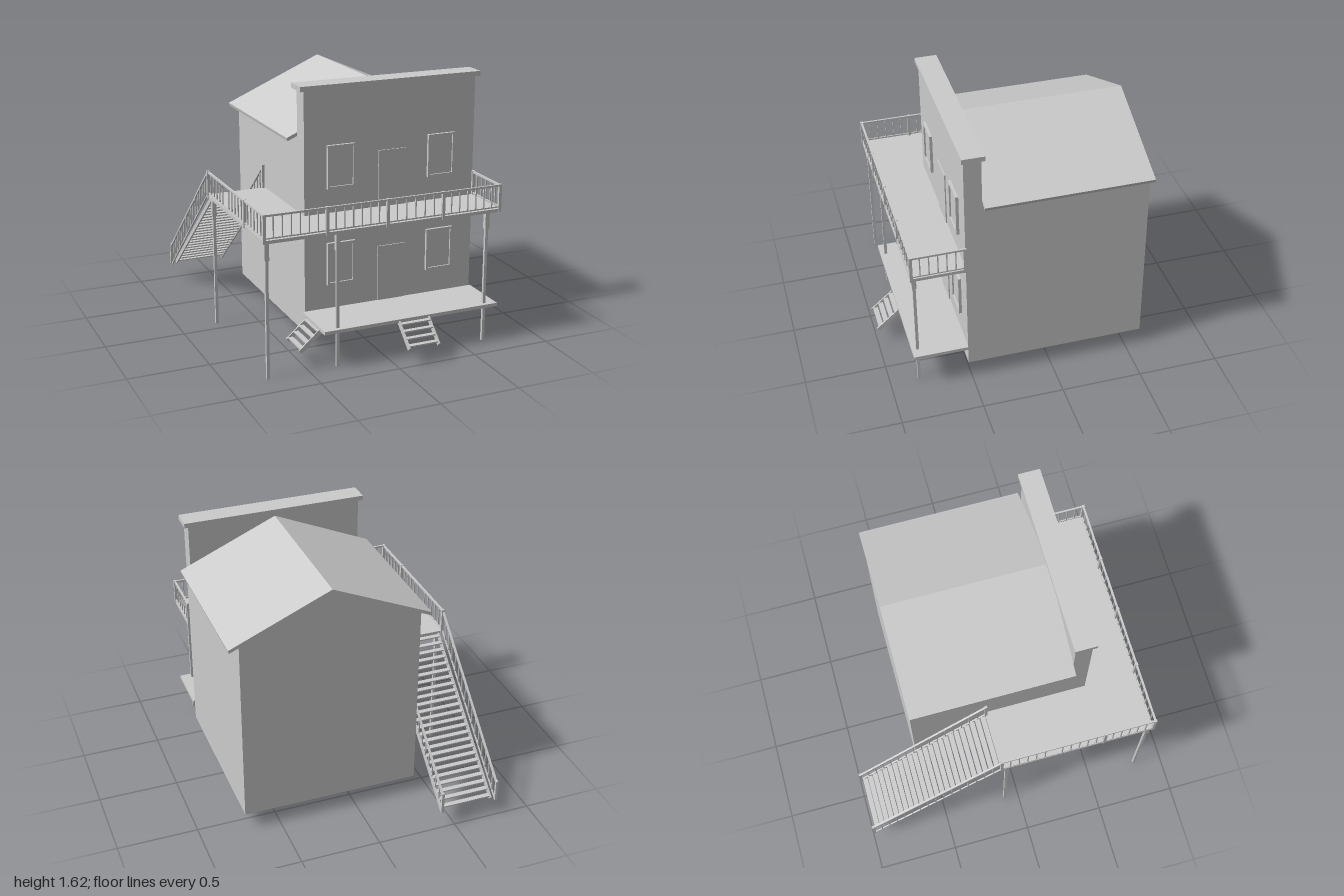
import * as THREE from 'three';

const timber = new THREE.MeshStandardMaterial({ color: 0xcccccc });
timber.name = 'plain grey';

function add(parent, name, geometry) {
  const mesh = new THREE.Mesh(geometry, timber);
  mesh.name = name;
  parent.add(mesh);
  return mesh;
}

function group(parent, name) {
  const g = new THREE.Group();
  g.name = name;
  parent.add(g);
  return g;
}

// Box given by its lower and upper limits on each axis
function box(parent, name, x0, x1, y0, y1, z0, z1) {
  const mesh = add(parent, name, new THREE.BoxGeometry(x1 - x0, y1 - y0, z1 - z0));
  mesh.position.set((x0 + x1) / 2, (y0 + y1) / 2, (z0 + z1) / 2);
  return mesh;
}

// Straight beam of width w and height h between two points
function beam(parent, name, a, b, w, h) {
  const from = new THREE.Vector3(...a), to = new THREE.Vector3(...b);
  const mesh = add(parent, name, new THREE.BoxGeometry(w, h, from.distanceTo(to)));
  mesh.position.copy(from).lerp(to, 0.5);
  mesh.lookAt(to);
  return mesh;
}

// Upright square post
function post(parent, name, x, y0, y1, z, w) {
  return box(parent, name, x - w / 2, x + w / 2, y0, y1, z - w / 2, z + w / 2);
}

// Profile in x and y, extruded along z
function prism(parent, name, points, z0, z1) {
  const shape = new THREE.Shape(points.map(p => new THREE.Vector2(...p)));
  const geometry = new THREE.ExtrudeGeometry(shape, { depth: z1 - z0, bevelEnabled: false });
  geometry.translate(0, 0, z0);
  return add(parent, name, geometry);
}

// Railing from a to b at floor level, with evenly spaced balusters
function railing(parent, name, a, b, count, low = 0.012, high = 0.145) {
  const g = group(parent, name);
  const raise = (p, h) => [p[0], p[1] + h, p[2]];
  beam(g, 'topRail', raise(a, high), raise(b, high), 0.012, 0.012);
  beam(g, 'bottomRail', raise(a, low), raise(b, low), 0.008, 0.008);
  for (let i = 1; i < count; i++) {
    const p = a.map((v, k) => v + (b[k] - v) * i / count);
    post(g, 'baluster', p[0], p[1] + low, p[1] + high, p[2], 0.007);
  }
}

// Open staircase descending along its own +z from the origin
function stairs(parent, name, width, run, rise, treads, depth) {
  const g = group(parent, name);
  for (const s of [-1, 1]) {
    beam(g, 'stringer', [s * width / 2, -0.008, 0], [s * width / 2, -rise, run], 0.009, 0.028);
  }
  for (let i = 0; i < treads; i++) {
    const t = (i + 0.5) / treads;
    const y = -rise * t, z = run * t;
    box(g, 'tread', -width / 2, width / 2, y - 0.004, y + 0.004, z - depth / 2, z + depth / 2);
  }
  return g;
}

export function createModel() {
  const model = new THREE.Group();
  model.name = 'woodenHouse';

  // House body, gabled roof and false front
  prism(model, 'houseBody',
    [[-0.4, 0.11], [0.72, 0.11], [0.72, 1.305], [0.16, 1.55], [-0.4, 1.305]], -0.595, 0.415);
  prism(model, 'roof',
    [[-0.46, 1.28], [0.16, 1.548], [0.78, 1.28], [0.785, 1.3], [0.16, 1.572], [-0.465, 1.3]], -0.602, 0.415);
  box(model, 'falseFront', -0.4, 0.72, 0.11, 1.59, 0.415, 0.52);
  box(model, 'cornice', -0.427, 0.747, 1.592, 1.622, 0.398, 0.535);

  // Doors and windows, the same on both floors
  for (const y of [0.245, 0.845]) {
    const storey = group(model, y < 0.5 ? 'lowerOpenings' : 'upperOpenings');
    box(storey, 'door', 0.077, 0.258, y, y + 0.35, 0.518, 0.527);
    for (const x of [-0.168, 0.493]) {
      const w = group(storey, 'window');
      const x0 = x - 0.09, x1 = x + 0.09, y0 = y + 0.15, y1 = y + 0.415;
      box(w, 'pane', x0 + 0.01, x1 - 0.01, y0 + 0.01, y1 - 0.01, 0.518, 0.528);
      box(w, 'frameSide', x0, x0 + 0.015, y0, y1, 0.518, 0.538);
      box(w, 'frameSide', x1 - 0.015, x1, y0, y1, 0.518, 0.538);
      box(w, 'frameSill', x0 + 0.015, x1 - 0.015, y0, y0 + 0.015, 0.518, 0.538);
      box(w, 'frameHead', x0 + 0.015, x1 - 0.015, y1 - 0.015, y1, 0.518, 0.538);
    }
  }

  // Porch floor and L-shaped balcony deck
  box(model, 'porchFloor', -0.415, 0.73, 0.223, 0.244, 0.52, 0.855);
  const deck = prism(model, 'balconyDeck',
    [[-0.78, -0.85], [0.73, -0.85], [0.73, -0.515], [-0.4, -0.515], [-0.4, 0.13], [-0.78, 0.13]], 0, 0.02);
  deck.rotation.x = -Math.PI / 2;
  deck.position.y = 0.826;

  // Supporting posts with thicker heads
  for (const [x, z] of [[-0.755, 0.82], [-0.32, 0.82], [0.655, 0.82], [-0.755, -0.09]]) {
    const p = group(model, 'supportPost');
    post(p, 'shaft', x, 0, 0.73, z, 0.018);
    post(p, 'head', x, 0.72, 0.826, z, 0.027);
  }

  // Balcony railing
  const floor = 0.845;
  const corners = [
    [-0.775, floor, -0.125], [-0.775, floor, 0.205], [-0.775, floor, 0.53], [-0.775, floor, 0.845],
    [-0.395, floor, 0.845], [-0.015, floor, 0.845], [0.345, floor, 0.845], [0.725, floor, 0.845],
    [0.725, floor, 0.525]
  ];
  corners.forEach((c, i) => {
    if (i !== 1) post(model, 'railingPost', c[0], 0.826, 0.998, c[2], 0.018);
    if (i > 0) railing(model, 'balconyRailing', corners[i - 1], c, i === 4 || i === 5 || i === 7 ? 7 : 6);
  });

  // Long rear staircase with handrails
  const rear = stairs(model, 'rearStairs', 0.333, 0.85, 0.72, 24, 0.031);
  rear.position.set(-0.58, 0.838, -0.13);
  rear.rotation.y = Math.PI;
  for (const x of [-0.778, -0.415]) {
    railing(model, 'stairRailing', [x, 0.84, -0.125], [x, 0.09, -0.985], 16, 0.01, 0.145);
    post(model, 'newelPost', x, 0.108, 0.25, -0.988, 0.016);
  }
  post(model, 'newelPost', -0.415, 0.826, 0.998, -0.125, 0.016);

  // Short porch stairs at the front and on the right
  const front = stairs(model, 'frontStairs', 0.195, 0.14, 0.13, 4, 0.03);
  front.position.set(0.163, 0.234, 0.85);
  const side = stairs(model, 'sideStairs', 0.195, 0.14, 0.13, 4, 0.03);
  side.position.set(-0.395, 0.234, 0.672);
  side.rotation.y = -Math.PI / 2;

  return model;
}
